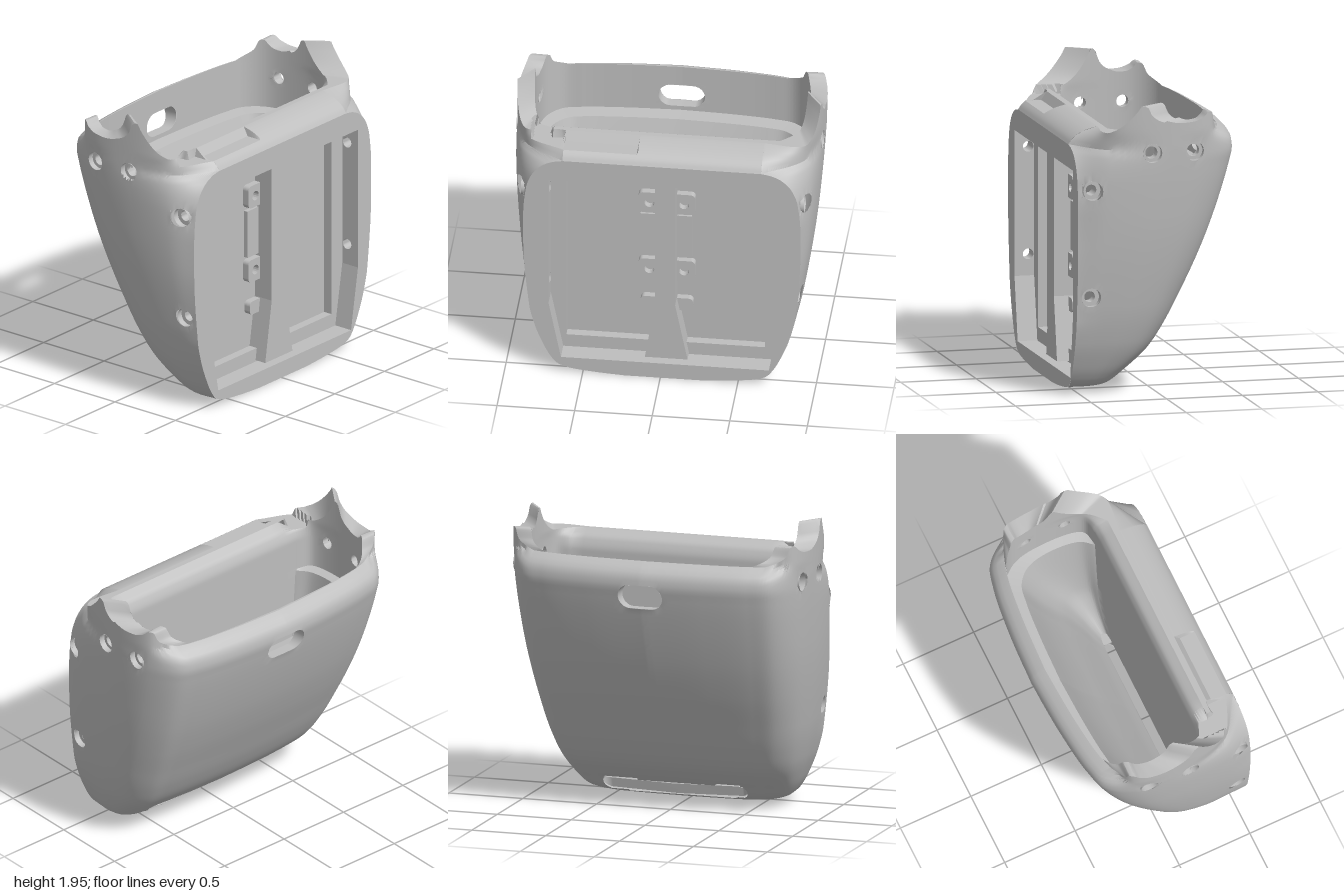
import * as THREE from 'three';
import { toCreasedNormals } from 'three/addons/utils/BufferGeometryUtils.js';

const CX = 0.01;
const V = (x, y, z) => new THREE.Vector3(x, y, z);
const lerp = THREE.MathUtils.lerp;

// Smooth monotone interpolation through [input, output] points
function smooth(pts) {
  const n = pts.length;
  const d = pts.slice(1).map((p, i) => (p[1] - pts[i][1]) / (p[0] - pts[i][0]));
  const m = pts.map((p, i) => i === 0 ? d[0] : i === n - 1 ? d[n - 2]
    : d[i - 1] * d[i] <= 0 ? 0 : 2 * d[i - 1] * d[i] / (d[i - 1] + d[i]));
  return (v) => {
    if (v <= pts[0][0]) return pts[0][1];
    if (v >= pts[n - 1][0]) return pts[n - 1][1];
    let i = 0;
    while (v > pts[i + 1][0]) i++;
    const h = pts[i + 1][0] - pts[i][0], t = (v - pts[i][0]) / h, a = t * t, b = a * t;
    return (2 * b - 3 * a + 1) * pts[i][1] + (b - 2 * a + t) * h * m[i]
      + (3 * a - 2 * b) * pts[i + 1][1] + (b - a) * h * m[i + 1];
  };
}

// Outer shell by height: front half width, side half width, back and front depth
// (F and B are the depths before the top edges roll over, k is how far back the front corner sits)
const frontHalf = smooth([[0, 0.24], [0.01, 0.4], [0.03, 0.58], [0.06, 0.67], [0.12, 0.72], [0.2, 0.762],
  [0.35, 0.82], [0.5, 0.855], [1, 0.893], [1.2, 0.893], [1.4, 0.875], [1.5, 0.84], [1.57, 0.78], [1.61, 0.7], [1.62, 0.64]]);
const sideHalf = smooth([[0, 0.24], [0.01, 0.4], [0.03, 0.58], [0.06, 0.675], [0.12, 0.725], [0.2, 0.767],
  [0.35, 0.825], [0.6, 0.885], [1.2, 0.965], [1.6, 0.988], [1.8, 0.99]]);
const backZ = smooth([[0, 0.46], [0.01, 0.38], [0.04, 0.28], [0.14, 0.15], [0.28, 0], [0.43, -0.1], [0.62, -0.2],
  [0.82, -0.3], [1.05, -0.4], [1.33, -0.5], [1.5, -0.55], [1.58, -0.568], [1.64, -0.56], [1.69, -0.52], [1.72, -0.47]]);
const frontZ = smooth([[1.62, 0.56], [1.65, 0.54], [1.68, 0.505], [1.71, 0.445], [1.73, 0.37]]);
const outer = (y) => ({ wf: frontHalf(y), ws: sideHalf(y), b: backZ(y), zf: frontZ(y), F: 0.56, B: backZ(Math.min(y, 1.58)), k: 0.17 });

// Cavity: a wide mouth above the ledge, a tapering liner below it
const rollZ = smooth([[1.4, 0.24], [1.6, 0.24], [1.68, 0.265], [1.73, 0.33]]);
const linerB = smooth([[0.17, 0.18], [0.28, 0.12], [0.43, 0.05], [0.62, -0.04], [0.82, -0.14], [1.05, -0.24], [1.38, -0.36]]);
const linerW = smooth([[0.17, 0.57], [0.35, 0.68], [0.6, 0.76], [1.38, 0.82]]);
const inner = (y) => y > 1.385 ? { wf: 0.74, ws: 0.88, b: -0.455, zf: rollZ(y), F: 0.24, B: -0.455, k: 0.05 }
  : { wf: linerW(y) * 0.9, ws: linerW(y), b: linerB(y), zf: 0.24, F: 0.24, B: linerB(y), k: 0.14 };

// Side rim height by depth: two peaks with a scoop between them
const rimByZ = smooth([[-0.42, 1.72], [-0.35, 1.78], [-0.32, 1.845], [-0.29, 1.85], [-0.25, 1.82], [-0.18, 1.795],
  [-0.1, 1.79], [0.03, 1.82], [0.09, 1.87], [0.12, 1.94], [0.15, 1.95], [0.18, 1.9], [0.25, 1.81], [0.3, 1.765], [0.36, 1.73]]);

// Horizontal section: t < 0 runs along the front, 0..1 around the side to the back centre
function section({ wf, ws, b, zf, F, B, k }, t, s, y) {
  if (t < 0) return V(CX + s * wf * (1 + t), y, zf);
  const d = F - B;
  const p = new THREE.CatmullRomCurve3([V(wf, 0, zf), V(lerp(wf, ws, 0.75), 0, F - k * d), V(ws, 0, F - 0.5 * d),
    V(ws * 0.955, 0, B + 0.24 * d), V(ws * 0.85, 0, b + 0.1 * d), V(ws * 0.7, 0, b + 0.055 * d),
    V(ws * 0.4, 0, b + 0.02 * d), V(0, 0, b)], false, 'centripetal').getPoint(t);
  return V(CX + s * p.x, y, p.z);
}
function rim({ t, s }) {
  if (t < 0) return 1.73;
  const z = section(outer(1.7), t, s, 0).z, top = rimByZ(z);
  return s > 0 && z > 0 ? 1.73 + (top - 1.73) * 0.82 : top;
}
function columns(start, step) {
  const half = [];
  for (let t = start; t < -1e-6; t += 0.1) half.push(t);
  for (let i = 0; i <= step; i++) half.push(i / step);
  return [...half.map((t) => ({ t, s: 1 })), ...half.reverse().map((t) => ({ t, s: -1 }))];
}
// Lowered pocket in the front lip, on one side only
function notch(p) {
  if (p.x > -0.85 && p.x < -0.155 && p.z > (p.x < -0.72 ? 0.23 : 0.37)) p.y = Math.min(p.y, 1.675);
  return p;
}

// Openings: distance is measured in the plane of axes u and v, L is half the straight length
const sideSpots = [[0.09, 1.6, 0.985], [-0.19, 1.6, 0.968], [0.47, 1.36, 0.912], [0.47, 0.66, 0.875]];
const sideHoles = (r, list) => list.map(([z, y]) => ({ u: 'z', v: 'y', cu: z, cv: y, L: 0, r, on: (p) => Math.abs(p.x) > 0.75 }));
const grip = { u: 'x', v: 'y', cu: 0.02, cv: 1.5, L: 0.07, r: 0.08, on: (p) => p.z < -0.4 };
const slot = { u: 'x', v: 'z', cu: 0.04, cv: 0.213, L: 0.43, r: 0.056, on: (p) => p.y < 0.3 };
function offset(h, p) {
  const a = p[h.u] - h.cu, ex = Math.sign(a) * Math.max(Math.abs(a) - h.L, 0), ey = p[h.v] - h.cv;
  return [ex, ey, Math.hypot(ex, ey)];
}

// Skin over rows of points, leaving out the openings
function skin(rows, holes = []) {
  const n = rows[0].length, pts = rows.flat(), idx = [];
  for (const p of pts) for (const h of holes) if (h.on(p)) {
    const [ex, ey, d] = offset(h, p);
    if (d > 0 && Math.abs(d - h.r) < 0.015) {
      p[h.u] += ex * (h.r / d - 1);
      p[h.v] += ey * (h.r / d - 1);
    }
  }
  const cut = pts.map((p) => holes.some((h) => h.on(p) && offset(h, p)[2] < h.r + 1e-4));
  for (let j = 0; j < rows.length - 1; j++) for (let i = 0; i < n - 1; i++) {
    const a = j * n + i, b = a + 1, c = a + n, d = c + 1;
    if (!(cut[a] && cut[b] && cut[d])) idx.push(a, b, d);
    if (!(cut[a] && cut[d] && cut[c])) idx.push(a, d, c);
  }
  const g = new THREE.BufferGeometry().setFromPoints(pts);
  g.setIndex(idx);
  return toCreasedNormals(g, 0.6);
}

const polygon = (pts) => new THREE.Shape(pts.map(([x, y]) => new THREE.Vector2(x, y)));
function roundRect(x0, y0, x1, y1, r) {
  const s = new THREE.Shape();
  s.absarc(x1 - r, y0 + r, r, -Math.PI / 2, 0);
  s.absarc(x1 - r, y1 - r, r, 0, Math.PI / 2);
  s.absarc(x0 + r, y1 - r, r, Math.PI / 2, Math.PI);
  s.absarc(x0 + r, y0 + r, r, Math.PI, Math.PI * 1.5);
  return s;
}
const circle = (x, y, r) => new THREE.Path().absarc(x, y, r, 0, Math.PI * 2);

export function createModel() {
  const group = new THREE.Group();
  const grey = new THREE.MeshStandardMaterial({ color: 0xbebebe, side: THREE.DoubleSide });
  grey.name = 'plain grey';
  const add = (name, geo) => {
    const mesh = new THREE.Mesh(geo, grey);
    mesh.name = name;
    group.add(mesh);
    return mesh;
  };

  // Curved outer shell
  const around = columns(0, 140), tops = around.map(rim), rows = [];
  for (let j = 0; j <= 100; j++) rows.push(around.map(({ t, s }, i) => {
    const y = tops[i] * (j / 100) ** 1.6;
    return j ? notch(section(outer(y), t, s, y)) : V(CX, 0, 0.54);
  }));
  const edge = around.map(({ t, s }, i) => section(outer(tops[i]), t, s, tops[i]));
  add('outerShell', skin(rows, [...sideHoles(0.062, sideSpots), grip, slot]));

  // Scalloped rim between shell and cavity
  const innerEdge = around.map(({ t, s }, i) => section(inner(tops[i]), t, s, tops[i]));
  add('rim', skin([0, 1, 2, 3, 4, 5].map((k) => edge.map((p, i) => notch(p.clone().lerp(innerEdge[i], k / 5))))));

  // Cavity mouth and liner with the ledge between
  const loop = columns(-1, 126), loopTops = loop.map(rim), cavity = [];
  for (let j = 0; j <= 28; j++) cavity.push(loop.map(({ t, s }, i) => {
    const y = lerp(loopTops[i], 1.39, j / 28);
    return notch(section(inner(y), t, s, y));
  }));
  for (let j = 0; j <= 24; j++) {
    const y = lerp(1.38, 0.17, j / 24);
    cavity.push(loop.map(({ t, s }) => section(inner(y), t, s, y)));
  }
  add('cavity', skin(cavity, [...sideHoles(0.04, sideSpots.slice(0, 2)), grip]));
  for (const [x0, x1] of [[-0.56, -0.42], [0.5, 0.57]])
    add('cavityFloor', new THREE.BoxGeometry(x1 - x0, 0.008, 0.056)).position.set((x0 + x1) / 2, 0.17, 0.212);

  // Rolled front lip with its pocket
  const lip = [];
  for (let j = 0; j <= 18; j++) {
    const k = Math.max(0, (j - 12) / 6), y = lerp(1.62, 1.73, Math.min(1, j / 12)), row = [];
    for (let i = 0; i <= 160; i++)
      row.push(notch(V(CX + (i / 80 - 1) * lerp(0.64, 0.74, k), y, k ? lerp(0.37, 0.33, k) : frontZ(y))));
    lip.push(row);
  }
  add('frontLip', skin(lip));

  // Front face around the stepped recess
  const right = [], left = [];
  for (let i = 0; i <= 60; i++) {
    const y = 1.62 * (1 - Math.cos(Math.PI * i / 60)) / 2;
    right.push([CX + frontHalf(y), y]);
    left.unshift([CX - frontHalf(y), y]);
  }
  const wide = [[-0.72, 1.47], [-0.72, 0.52], [-0.64, 0.11], [0.7, 0.11], [0.77, 0.52], [0.77, 1.47]];
  const narrow = [[-0.62, 1.47], [-0.62, 0.2], [0.66, 0.2], [0.66, 1.47]];
  const plate = (name, pts, hole, z) => {
    const s = polygon(pts);
    if (hole) s.holes.push(polygon(hole));
    add(name, new THREE.ShapeGeometry(s)).position.z = z;
  };
  plate('frontFace', [...right, ...left], wide, 0.56);
  plate('recessStep', wide, narrow, 0.43);
  plate('recessFloor', narrow, null, 0.37);
  const wall = (name, pts, z0, z1) => add(name, skin([z0, z1].map((z) => pts.map(([x, y]) => V(x, y, z)))));
  wall('recessLowerWall', wide.slice(1, 5), 0.43, 0.56);
  wall('recessTopWall', [wide[0], wide[5]], 0.37, 0.56);
  wall('recessInnerWall', narrow, 0.37, 0.43);
  for (const x of [-0.72, 0.77]) {
    const s = polygon([[0.43, 0.52], [0.56, 0.52], [0.56, 1.47], [0.43, 1.47]]);
    s.holes.push(circle(0.47, 0.66, 0.035), circle(0.47, 1.36, 0.035));
    add('recessSideWall', new THREE.ShapeGeometry(s).rotateY(-Math.PI / 2)).position.x = x;
  }

  // Counterbored screw holes on both sides, ending at the recess or cavity wall
  for (const s of [-1, 1]) for (const [z, y, x] of sideSpots) {
    const low = z > 0.3, r = low ? 0.035 : 0.04;
    const depth = low ? x + s * CX - (s > 0 ? 0.77 : 0.72) : x - 0.875;
    const profile = [[0.062, 0], [0.062, -0.04], [r, -0.04], [r, -depth]].map(([a, b]) => new THREE.Vector2(a, b));
    const bore = toCreasedNormals(new THREE.LatheGeometry(profile, 24), 0.6);
    add('screwHole', bore.rotateZ(-s * Math.PI / 2)).position.set(CX + s * x, y, z);
  }

  // Walls of the finger hole and the drain slot, trimmed to the shell
  const tunnel = (h, name, turn, trim) => {
    const g = new THREE.CylinderGeometry(h.r, h.r, 0.1, 32, 1, true), p = g.attributes.position;
    for (let i = 0; i < p.count; i++) p.setX(i, p.getX(i) + Math.sign(Math.round(p.getX(i) * 1e4)) * h.L);
    g.rotateX(turn);
    for (let i = 0; i < p.count; i++) trim(p, i);
    g.computeVertexNormals();
    return add(name, g);
  };
  tunnel(grip, 'fingerHoleWall', Math.PI / 2, (p, i) => {
    p.setZ(i, p.getZ(i) > 0 ? -0.452 : backZ(p.getY(i) + grip.cv) + 0.006);
  }).position.set(grip.cu, grip.cv, 0);
  tunnel(slot, 'drainSlotWall', 0, (p, i) => {
    const x = p.getX(i), z = p.getZ(i);
    if (p.getY(i) > 0) p.setXYZ(i, x, 0.17, z * 0.52);
    else p.setY(i, 0.092 - z * 0.77 + 0.06 * x * x);
  }).position.set(slot.cu, 0, slot.cv);

  // Centre strip, mounting brackets and pads on the recess floor
  const raised = (name, shape, depth) =>
    add(name, new THREE.ExtrudeGeometry(shape, { depth, bevelEnabled: false, curveSegments: 8 })).position.z = 0.37;
  raised('centreStrip', polygon([[-0.105, 0.12], [0.17, 0.12], [0.09, 0.53], [0.09, 1.465], [-0.04, 1.465], [-0.04, 0.53]]), 0.14);
  for (const y of [0.66, 1.17]) {
    const s = roundRect(-0.158, y, 0.208, y + 0.153, 0.03);
    s.holes.push(circle(-0.087, y + 0.075, 0.032), circle(0.137, y + 0.075, 0.032));
    raised('mountingBracket', s, 0.045);
  }
  raised('middlePad', roundRect(-0.15, 0.83, 0.185, 1.15, 0.003), 0.03);
  raised('lowerPad', roundRect(-0.145, 0.435, 0.195, 0.525, 0.03), 0.045);
  return group;
}
